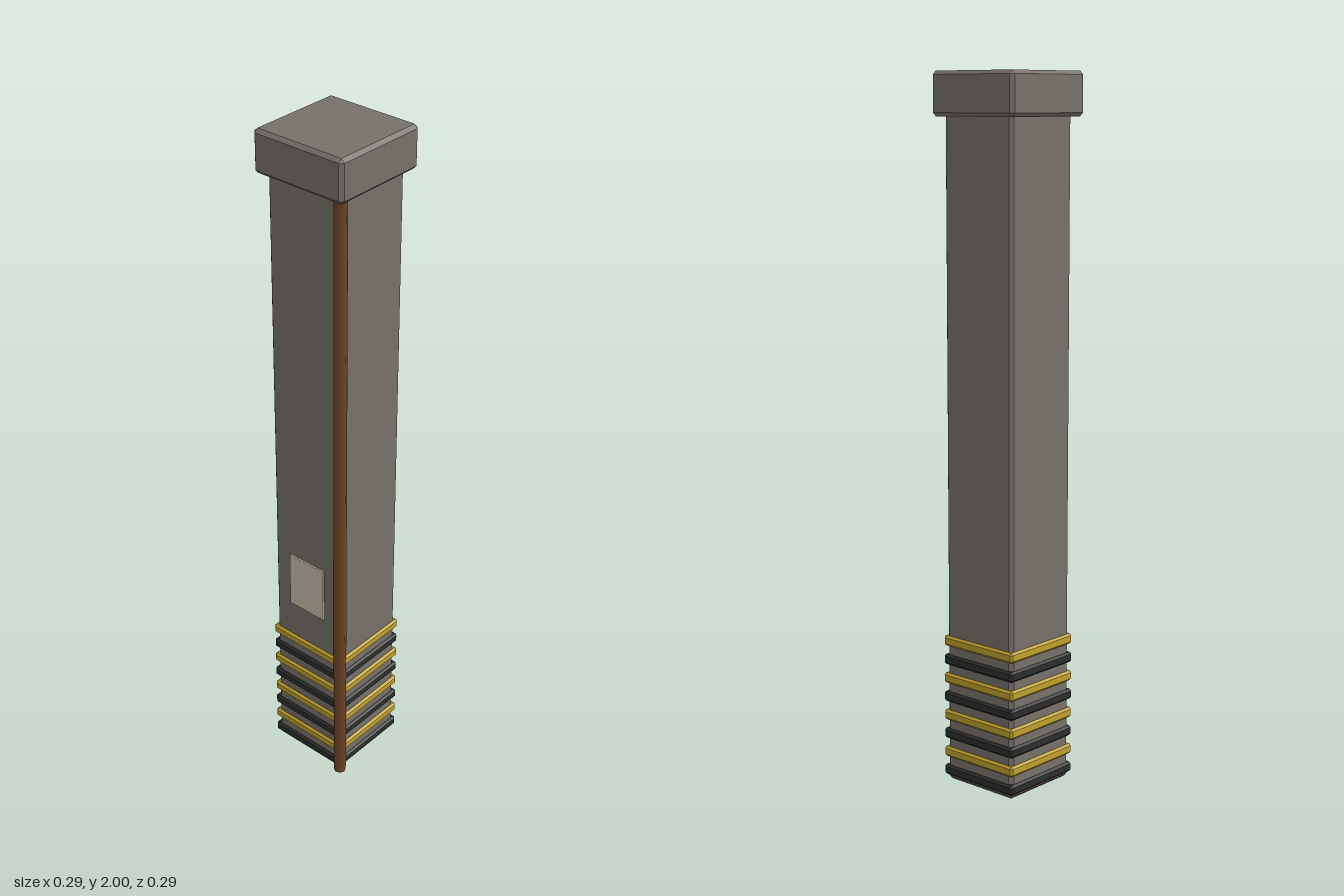
import * as THREE from 'three';
import { ConvexGeometry } from 'three/addons/geometries/ConvexGeometry.js';

const mat = (name, color) => {
  const m = new THREE.MeshStandardMaterial({ color });
  m.name = name;
  return m;
};

// Box with every edge cut by a flat bevel
function chamferBox(w, h, d, c) {
  const half = [w / 2, h / 2, d / 2];
  const points = [];
  for (const sx of [-1, 1]) for (const sy of [-1, 1]) for (const sz of [-1, 1]) {
    for (let axis = 0; axis < 3; axis++) {
      const p = half.map((v, i) => (i === axis ? v : v - c));
      points.push(new THREE.Vector3(sx * p[0], sy * p[1], sz * p[2]));
    }
  }
  return new ConvexGeometry(points);
}

export function createModel() {
  const stone = mat('grey concrete', 0x77716a);
  const yellow = mat('warning yellow', 0xc0a02c);
  const black = mat('warning black', 0x2c2d2d);
  const rust = mat('rusty brown', 0x6e4426);
  const paper = mat('pale notice', 0xc8c0aa);

  const model = new THREE.Group();
  model.name = 'pillar';
  const add = (name, geometry, material, x, y, z) => {
    const mesh = new THREE.Mesh(geometry, material);
    mesh.name = name;
    mesh.position.set(x, y, z);
    model.add(mesh);
    return mesh;
  };

  // Shaft and cap
  add('shaft', chamferBox(0.246, 1.895, 0.246, 0.01), stone, 0, 0.9525, 0);
  add('cap', chamferBox(0.294, 0.12, 0.294, 0.01), stone, 0, 1.94, 0);

  // Alternating warning bands around the base
  const band = chamferBox(0.26, 0.03, 0.26, 0.006);
  for (let i = 0; i < 8; i++) {
    add('band' + (i + 1), band, i % 2 ? yellow : black, 0, 0.034 + i * 0.055, 0);
  }

  // Conduit running up the front left corner
  const pipe = new THREE.CylinderGeometry(0.018, 0.018, 1.89, 8);
  add('cornerPipe', pipe, rust, 0.119, 0.945, 0.119);

  // Notice plate on the front
  add('noticePlate', new THREE.BoxGeometry(0.126, 0.172, 0.008), paper, 0, 0.636, 0.124);

  return model;
}
